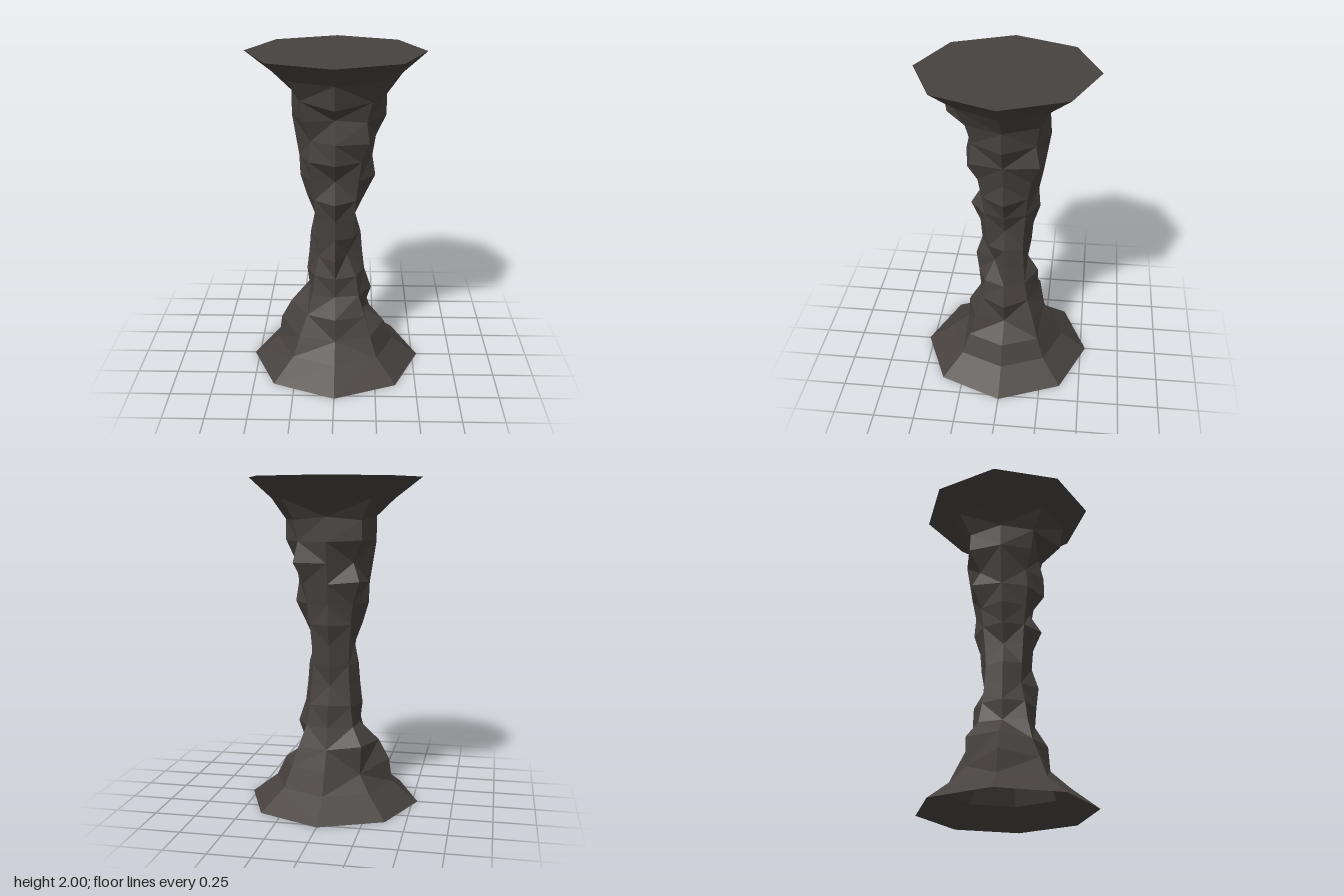
import * as THREE from 'three';

const SIDES = 8;
const STEP = 0.125; // height between rings

// Radius of each ring, from foot to top
const PROFILE = [0.532, 0.37, 0.31, 0.245, 0.205, 0.18, 0.165, 0.155, 0.165,
  0.178, 0.195, 0.22, 0.24, 0.26, 0.285, 0.37, 0.532];

// Chips and bulges on the four main faces: [ring, radius, shift in height]
const LEFT = [[3, 0.175, -0.03], [4, 0.225, -0.01], [8, 0.12], [10, 0.24], [13, 0.3],
  [14, 0.3], [15, 0.39]];
const FRONT = [[2, 0.255, -0.02], [4, 0.17], [6, 0.195], [9, 0.22], [10, 0.145],
  [11, 0.24], [13, 0.21, 0.015], [14, 0.35, -0.02]];
const RIGHT = [[2, 0.35, 0.02], [3, 0.285, 0.015], [4, 0.165], [8, 0.13], [10, 0.215],
  [14, 0.26, 0.02]];
const BACK = [[5, 0.2, 0.015], [6, 0.135], [9, 0.205], [14, 0.25, 0.02]];

// Chips and bulges on the diagonals between them
const FRONT_LEFT = [[3, 0.262], [6, 0.1], [7, 0.15], [12, 0.28], [14, 0.3]];
const FRONT_RIGHT = [[6, 0.145], [12, 0.205]];
const BACK_RIGHT = [[2, 0.28, -0.03], [3, 0.29, 0.02], [11, 0.265, 0.015], [12, 0.205],
  [13, 0.29, 0.01]];
const BACK_LEFT = [[3, 0.262], [12, 0.295]];

function ringPoint(radius, y, side) {
  const a = (side / SIDES) * Math.PI * 2;
  return new THREE.Vector3(Math.cos(a) * radius, y, Math.sin(a) * radius);
}

function geometryFrom(points) {
  const geometry = new THREE.BufferGeometry().setFromPoints(points);
  geometry.computeVertexNormals();
  return geometry;
}

export function createModel() {
  const group = new THREE.Group();
  group.name = 'rockPillar';
  // Double sided because the foot is open underneath
  const rock = new THREE.MeshStandardMaterial({
    color: 0x47423f, flatShading: true, side: THREE.DoubleSide,
  });
  rock.name = 'dark rock';

  // Regular rings, then the chipped corners
  const rings = PROFILE.map((r, i) =>
    Array.from({ length: SIDES }, (_, s) => ringPoint(r, i * STEP, s)));
  const sides = [LEFT, FRONT_LEFT, FRONT, FRONT_RIGHT, RIGHT, BACK_RIGHT, BACK, BACK_LEFT];
  sides.forEach((chips, s) => {
    for (const [ring, r, shift = 0] of chips) {
      rings[ring][s] = ringPoint(r, ring * STEP + shift, s);
    }
  });

  // Hollow shaft: each quad is split along its shorter diagonal
  const tris = [];
  for (let i = 0; i < rings.length - 1; i++) {
    for (let s = 0; s < SIDES; s++) {
      const n = (s + 1) % SIDES;
      const a = rings[i][s], b = rings[i][n], c = rings[i + 1][n], d = rings[i + 1][s];
      if (a.distanceTo(c) < b.distanceTo(d)) tris.push(a, d, c, a, c, b);
      else tris.push(a, d, b, b, d, c);
    }
  }
  const shaft = new THREE.Mesh(geometryFrom(tris), rock);
  shaft.name = 'shaft';
  group.add(shaft);

  // Flat top
  const top = new THREE.Mesh(new THREE.CircleGeometry(PROFILE[0], SIDES), rock);
  top.name = 'topFace';
  top.rotation.x = -Math.PI / 2;
  top.position.y = 2;
  group.add(top);
  return group;
}
